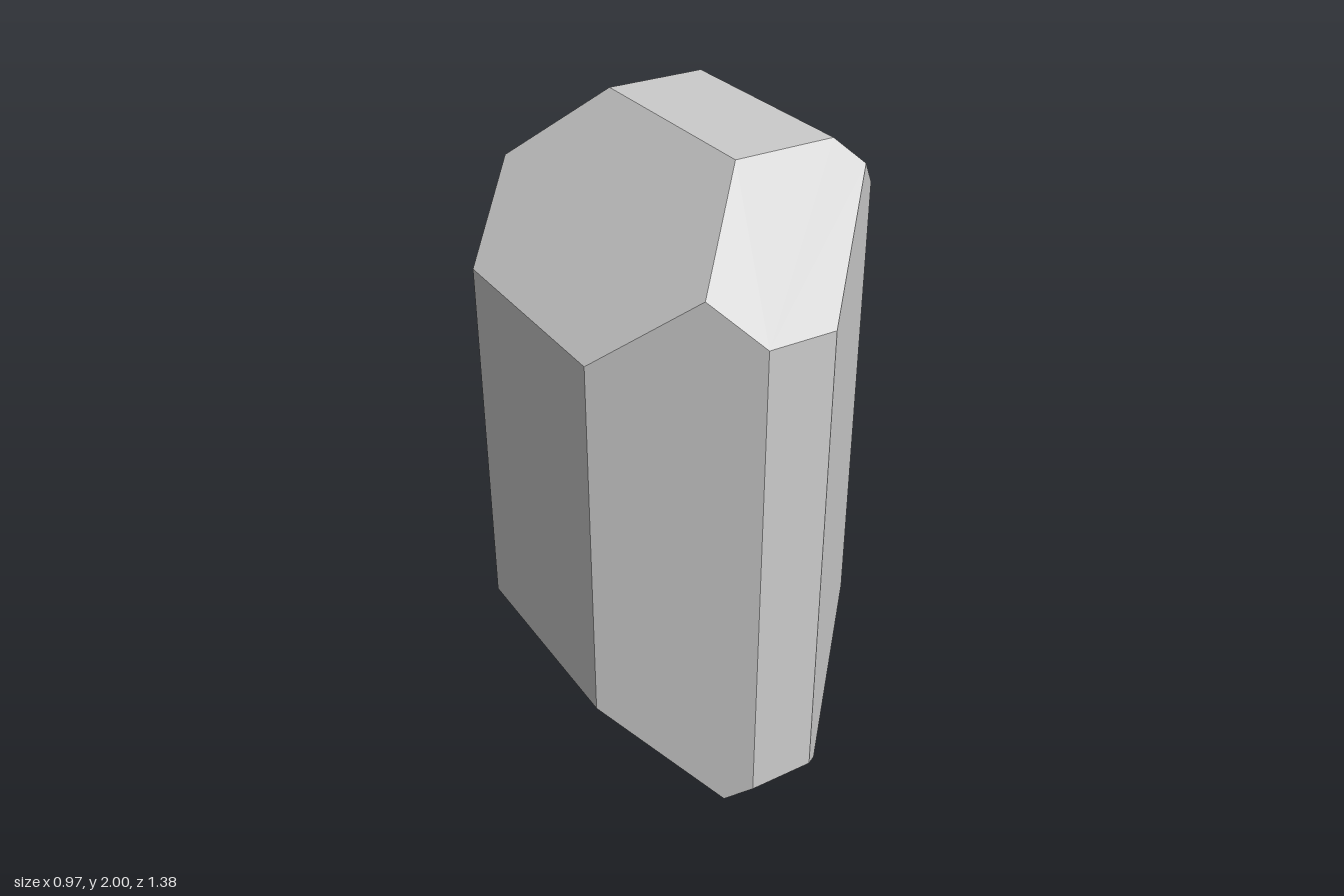
import * as THREE from 'three';

// Each cut plane: outward direction and the limit of dot(direction, point).
const CUTS = [
  // flat sides, top and bottom
  [1, 0, 0, 0.485], [-1, 0, 0, 0.485],
  [0, 1, 0, 2], [0, -1, 0, 0],
  [0, 0, 1, 0.69], [0, 0, -1, 0.69],
  // left and right bevels of the top and bottom
  [1, 1, 0, 2.3], [-1, 1, 0, 2.015], [1, -1, 0, 0.105], [-1, -1, 0, 0.14],
  // front and back bevels of the top and bottom
  [0, 1, 1, 2.33], [0, 1, -1, 2.34], [0, -1, 1, 0.565], [0, -1, -1, 0.568],
  // upright bevels
  [1, 0, 1, 0.76], [-1, 0, 1, 0.83], [1, 0, -1, 0.702], [-1, 0, -1, 0.83],
];

// Flat-faced convex solid enclosed by the cut planes.
function cutSolid(cuts) {
  const planes = cuts.map(([x, y, z, d]) => ({ n: new THREE.Vector3(x, y, z), d }));

  // Corners: where three planes meet without lying outside any other
  const corners = [];
  for (let i = 0; i < planes.length; i++)
    for (let j = i + 1; j < planes.length; j++)
      for (let k = j + 1; k < planes.length; k++) {
        const [a, b, c] = [planes[i], planes[j], planes[k]];
        const bc = b.n.clone().cross(c.n);
        const det = a.n.dot(bc);
        if (Math.abs(det) < 1e-6) continue;
        const p = bc.multiplyScalar(a.d)
          .addScaledVector(c.n.clone().cross(a.n), b.d)
          .addScaledVector(a.n.clone().cross(b.n), c.d)
          .divideScalar(det);
        if (planes.some((q) => q.n.dot(p) > q.d + 1e-6)) continue;
        if (!corners.some((q) => q.distanceTo(p) < 1e-5)) corners.push(p);
      }

  // Faces: corners on each plane, ordered counter-clockwise and fanned
  const positions = [];
  for (const { n, d } of planes) {
    const ring = corners.filter((p) => Math.abs(n.dot(p) - d) < 1e-5);
    if (ring.length < 3) continue;
    const centre = ring.reduce((s, p) => s.add(p), new THREE.Vector3()).divideScalar(ring.length);
    const u = ring[0].clone().sub(centre).normalize();
    const v = n.clone().normalize().cross(u);
    const angle = (p) => {
      const r = p.clone().sub(centre);
      return Math.atan2(r.dot(v), r.dot(u));
    };
    ring.sort((p, q) => angle(p) - angle(q));
    for (let i = 1; i < ring.length - 1; i++)
      for (const p of [ring[0], ring[i], ring[i + 1]]) positions.push(p.x, p.y, p.z);
  }

  const geometry = new THREE.BufferGeometry();
  geometry.setAttribute('position', new THREE.Float32BufferAttribute(positions, 3));
  geometry.computeVertexNormals();
  return geometry;
}

export function createModel() {
  const group = new THREE.Group();
  group.name = 'facetedStone';

  const material = new THREE.MeshStandardMaterial({ color: 0xcccccc, flatShading: true });
  const stone = new THREE.Mesh(cutSolid(CUTS), material);
  stone.name = 'stoneBody';
  group.add(stone);

  return group;
}
